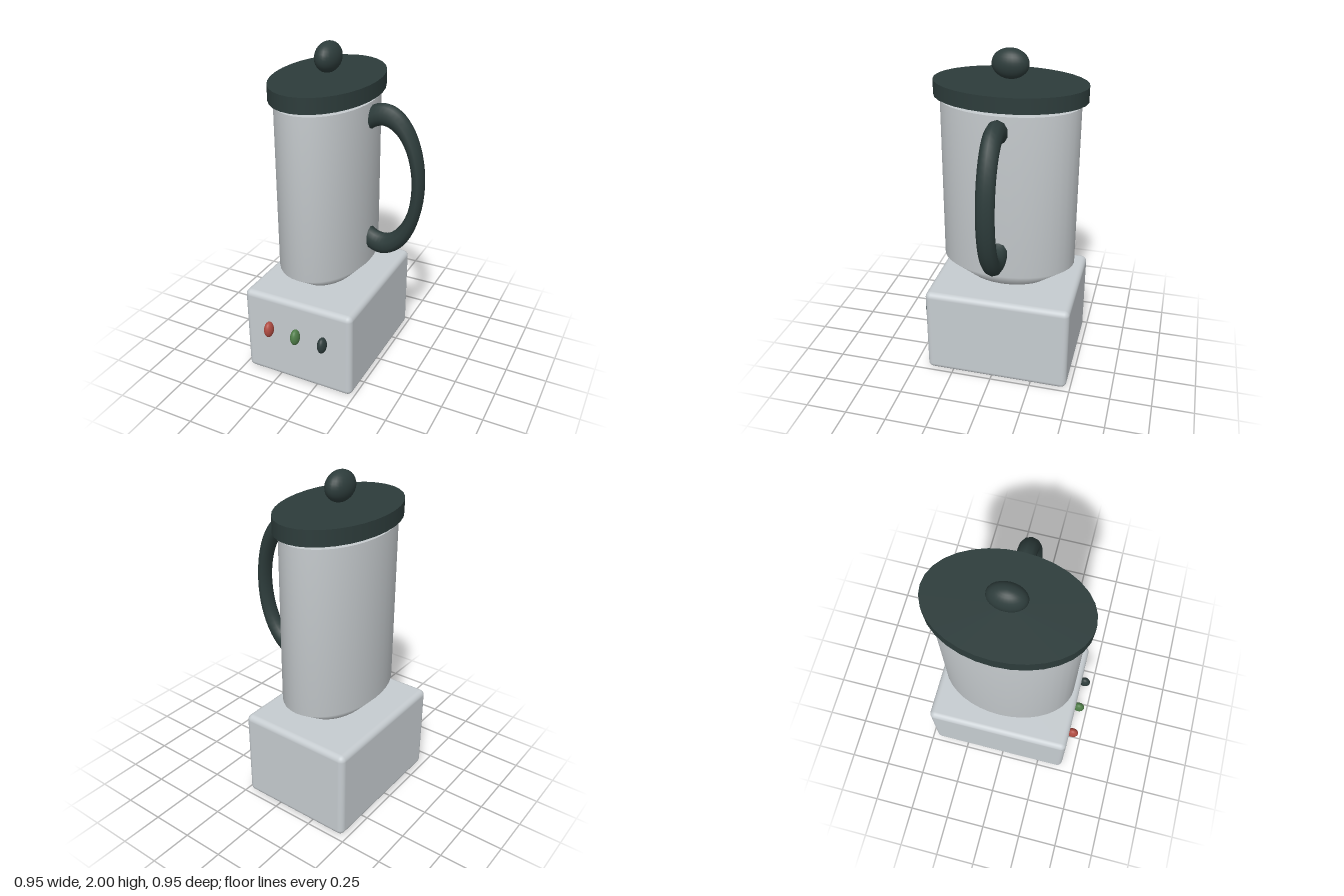
import * as THREE from 'three';
import { RoundedBoxGeometry } from 'three/addons/geometries/RoundedBoxGeometry.js';

// Shared vertical axis of the base, jar and lid
const CX = -0.12, CZ = -0.03;

export function createModel() {
  const group = new THREE.Group();
  const material = (name, color) => {
    const m = new THREE.MeshStandardMaterial({ color });
    m.name = name;
    return m;
  };
  const grey = material('light grey', 0xc6ccd0);
  const steel = material('jar grey', 0xc6cbce);
  steel.side = THREE.DoubleSide;
  const dark = material('dark slate', 0x2d3c3b);
  const red = material('red', 0xb04c42);
  const green = material('green', 0x4f7d48);

  const add = (name, geometry, mat, x, y, z, parent = group) => {
    const mesh = new THREE.Mesh(geometry, mat);
    mesh.name = name;
    mesh.position.set(x, y, z);
    parent.add(mesh);
    return mesh;
  };
  const ellipsoid = (rx, ry, rz) => new THREE.SphereGeometry(1, 24, 16).scale(rx, ry, rz);

  // Motor base
  add('base', new RoundedBoxGeometry(0.71, 0.56, 0.89, 4, 0.035), grey, CX, 0.28, CZ);

  // Oval jar with a tapered foot, closed at both ends
  const jar = new THREE.Group();
  jar.name = 'jar';
  group.add(jar);
  const profile = [[0.61, 0.585], [1, 0.7], [1, 1.7]].map(p => new THREE.Vector2(...p));
  add('jarWall', new THREE.LatheGeometry(profile, 40).scale(0.27, 1, 0.408), steel, CX, 0, CZ, jar);
  add('jarFloor', new THREE.CircleGeometry(0.61, 40).rotateX(Math.PI / 2).scale(0.27, 1, 0.408),
    steel, CX, 0.585, CZ, jar);
  add('jarTop', new THREE.CircleGeometry(1, 40).rotateX(-Math.PI / 2).scale(0.27, 1, 0.408),
    steel, CX, 1.7, CZ, jar);

  // Floating oval lid and its knob
  add('lid', new THREE.CylinderGeometry(1, 1, 0.09, 32).scale(0.295, 1, 0.445), dark, CX, 1.77, CZ);
  add('lidKnob', ellipsoid(0.07, 0.086, 0.107), dark, CX, 1.914, CZ);

  // Handle: stretched ring arc whose ends sink into the jar
  const arc = 4.4;
  const ring = new THREE.TorusGeometry(1, 0.163, 10, 40, arc)
    .rotateZ(-arc / 2).scale(0.215, 0.4, 0.33);
  add('handle', ring, dark, 0.222, 1.234, CZ);

  // Row of control buttons on the front
  [['redButton', red], ['greenButton', green], ['darkButton', dark]].forEach(([name, mat], i) =>
    add(name, ellipsoid(0.027, 0.051, 0.038), mat, CX + (i - 1) * 0.18, 0.34, 0.436));

  return group;
}
